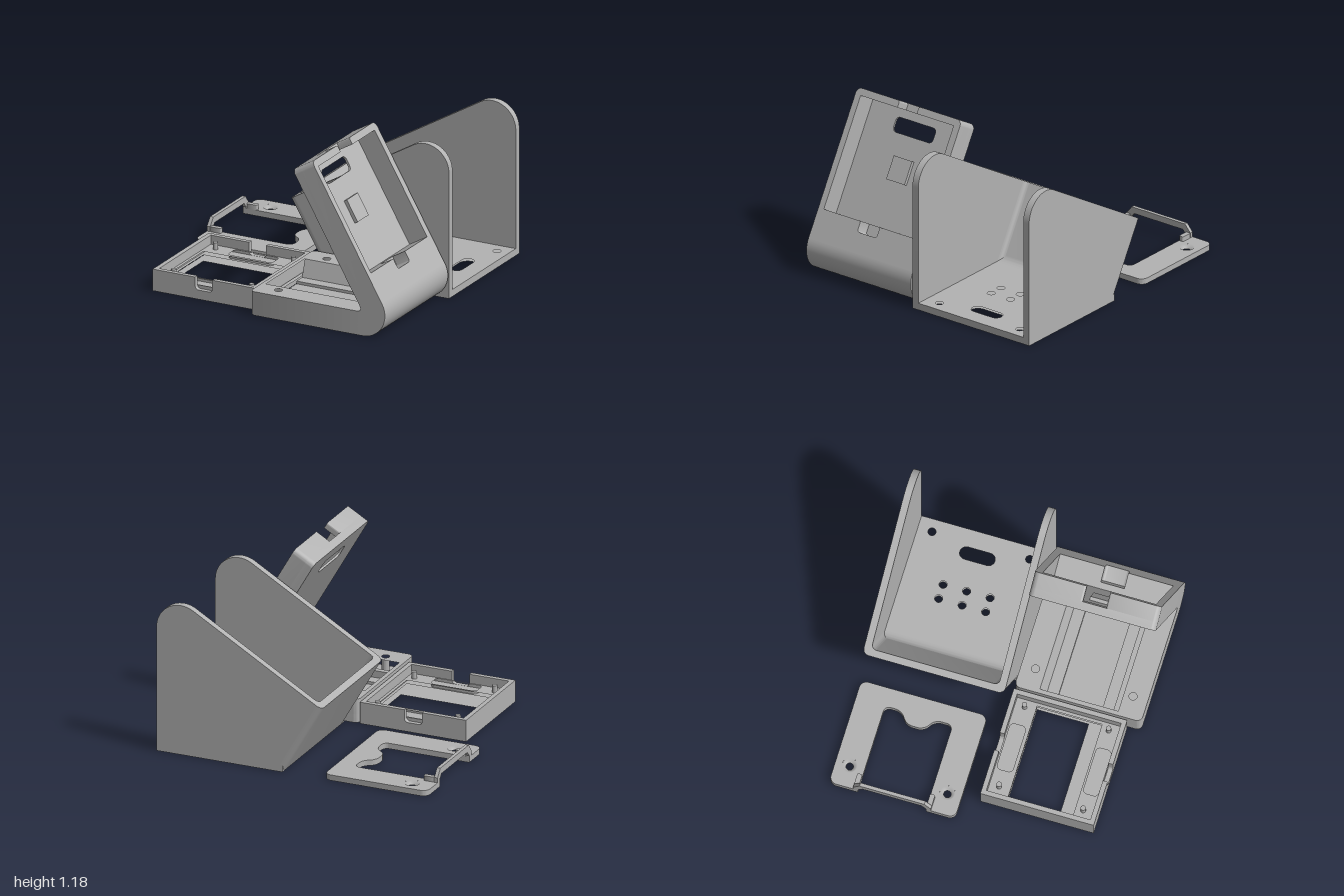
import * as THREE from 'three';
import { toCreasedNormals } from 'three/addons/utils/BufferGeometryUtils.js';

const plastic = new THREE.MeshStandardMaterial({ color: 0xb2b2b2 });
plastic.name = 'grey plastic';

// Closed path through [x, y, cornerRadius] points, corners rounded
function trace(path, pts) {
  const n = pts.length;
  pts.forEach(([x, y, r = 0], i) => {
    const toward = ([a, b], d) => {
      const l = Math.hypot(a - x, b - y) || 1;
      return [x + (a - x) * d / l, y + (b - y) * d / l];
    };
    const prev = pts[(i + n - 1) % n], next = pts[(i + 1) % n];
    const a = toward(prev, r), b = toward(next, r);
    if (i) path.lineTo(...a); else path.moveTo(...a);
    if (r) path.bezierCurveTo(...toward(prev, r * 0.45), ...toward(next, r * 0.45), ...b);
  });
  path.closePath();
  return path;
}
const rect = (x0, y0, x1, y1, r = 0) => [[x0, y0, r], [x1, y0, r], [x1, y1, r], [x0, y1, r]];
const disc = (x, y, r) => rect(x - r, y - r, x + r, y + r, r * 0.999);

function extrude(shape, from, to) {
  const g = new THREE.ExtrudeGeometry(shape, { depth: to - from, bevelEnabled: false, curveSegments: 10 });
  return toCreasedNormals(g.translate(0, 0, from), 0.6);
}
function add(group, name, geometry) {
  const m = new THREE.Mesh(geometry, plastic);
  m.name = name;
  group.add(m);
  return m;
}
// Plate seen in plan: points are [x, z, r], thickness runs from y0 to y1
function slab(group, name, pts, holes, y0, y1) {
  const flip = list => list.map(([x, z, r]) => [x, -z, r]);
  const s = trace(new THREE.Shape(), flip(pts));
  s.holes = holes.map(h => trace(new THREE.Path(), flip(h)));
  return add(group, name, extrude(s, y0, y1).rotateX(-Math.PI / 2));
}
// Tilted directions shared by the stand and the tray (30 degrees off vertical)
const UP = new THREE.Vector3(-0.5, Math.sqrt(0.75), 0);
const OUT = new THREE.Vector3(Math.sqrt(0.75), 0.5, 0);
const BACK = new THREE.Vector3(0, 0, -1);
function group(parent, name) {
  const g = new THREE.Group();
  g.name = name;
  parent.add(g);
  return g;
}

function buildTray(root) {
  const g = group(root, 'tray');
  const zA = -0.95, zB = 0.045, t = 0.05;
  // Floor, counterbored from below
  const vents = [];
  for (const x of [0.465, 0.57]) for (const z of [-0.62, -0.455, -0.29]) vents.push(disc(x, z, 0.027));
  const floor = rect(0.07, zA, 1, zB);
  slab(g, 'trayFloorLower', floor, [...vents, disc(0.91, -0.8, 0.042), disc(0.91, -0.115, 0.042),
    rect(0.765, -0.6, 0.895, -0.315, 0.064)], 0, 0.025);
  slab(g, 'trayFloorUpper', floor, [...vents, disc(0.91, -0.8, 0.027), disc(0.91, -0.115, 0.027),
    rect(0.785, -0.58, 0.875, -0.335, 0.044)], 0.025, t);
  // Side walls
  const side = new THREE.Shape();
  side.moveTo(0.07, 0);
  side.lineTo(1, 0);
  side.lineTo(1, 0.9);
  side.absarc(0.82, 0.9, 0.18, 0, Math.PI * 2 / 3, false);
  side.lineTo(-0.177, 0.525);
  side.lineTo(0.113, 0.025);
  side.closePath();
  add(g, 'trayBackSide', extrude(side, zA, zA + t));
  add(g, 'trayFrontSide', extrude(side, zB - t, zB));
  // Sloping end wall with rounded edges and inner fillets
  const f = 0.035, a = -zB, b = -zA;
  const section = trace(new THREE.Shape(), [[0, a, 0.045], [t + f, a], [t + f, a + t], [t, a + t, f],
    [t, b - t, f], [t + f, b - t], [t + f, b], [0, b, 0.045]]);
  const wall = extrude(section, 0, 0.578);
  wall.applyMatrix4(new THREE.Matrix4().makeBasis(OUT, BACK, UP).setPosition(0.07, 0, 0));
  add(g, 'trayEndWall', wall);
  // Fillet between floor and end wall
  const fillet = new THREE.Shape();
  fillet.moveTo(0.075, 0.09);
  fillet.quadraticCurveTo(0.099, 0.05, 0.145, 0.05);
  fillet.lineTo(0.1, 0.03);
  fillet.closePath();
  add(g, 'trayFillet', extrude(fillet, zA + t, zB - t));
}

function buildStand(root) {
  const g = group(root, 'stand');
  const z0 = 0.06, z1 = 0.95, t = 0.17;
  // Base block with open pocket and blind screw holes
  const base = [[-0.03, z0, 0.04], [0.83, z0], [0.83, z1], [-0.03, z1, 0.04]];
  const pocket = rect(0, 0.23, 0.7, 0.78);
  slab(g, 'standBaseLower', base, [pocket], 0, 0.06);
  slab(g, 'standBaseUpper', base, [pocket, disc(0.13, 0.16, 0.027), disc(0.13, 0.845, 0.027)], 0.06, t);
  // Stepped pocket floor, cross-section [z, y] run along x
  const steps = [[0.23, 0], [0.23, 0.17], [0.27, 0.05], [0.35, 0.05], [0.35, 0.03], [0.66, 0.03], [0.66, 0.05],
    [0.74, 0.05], [0.74, 0.1], [0.78, 0.1], [0.78, 0]];
  const insert = extrude(trace(new THREE.Shape(), steps.map(([z, y]) => [-z, y])), 0, 0.7);
  add(g, 'standPocketFloor', insert.rotateY(Math.PI / 2));
  // Rounded bend joining base and leaning panel
  const cx = 0.83, cy = 0.17;
  const bend = new THREE.Shape();
  bend.moveTo(0.78, 0);
  bend.lineTo(cx, 0);
  bend.absarc(cx, cy, t, -Math.PI / 2, Math.PI / 6, false);
  bend.lineTo(cx + OUT.x * t - 0.025, cy + OUT.y * t + 0.043);
  bend.lineTo(cx - 0.025, cy + 0.043);
  bend.quadraticCurveTo(cx, cy, 0.78, cy);
  bend.closePath();
  add(g, 'standBend', extrude(bend, z0, z1));
  // Leaning panel, layered from its back sheet to its front rim
  const panel = group(g, 'standPanel');
  panel.applyMatrix4(new THREE.Matrix4().makeBasis(BACK, UP, OUT).setPosition(cx, cy, 0));
  const L = 1.068, a = -z1, b = -z0, ra = -0.904, rb = -0.111, r0 = 0.216, r1 = 1.018, na = -0.59, nb = -0.425;
  const outer = [[a, 0], [b, 0], [b, L, 0.04], [a, L, 0.04]];
  const layer = (name, pts, holes, w0, w1) => {
    const s = trace(new THREE.Shape(), pts);
    s.holes = holes.map(h => trace(new THREE.Path(), h));
    add(panel, name, extrude(s, w0, w1));
  };
  layer('panelSheet', outer, [rect(-0.677, 0.857, -0.338, 0.961, 0.03)], 0, 0.015);
  layer('panelInnerRim', outer, [rect(ra, r0, rb, r1)], 0.015, 0.06);
  layer('panelOuterRim', [[a, 0], [b, 0], [b, L, 0.04], [nb, L, 0.015], [nb, r1], [rb, r1], [rb, r0], [nb, r0],
    [nb, 0.14, 0.02], [na, 0.14, 0.02], [na, r0], [ra, r0], [ra, r1], [na, r1], [na, L, 0.015], [a, L, 0.04]],
  [], 0.06, t);
  layer('panelPad', rect(-0.586, 0.537, -0.43, 0.704), [], 0.015, 0.04);
}

function buildFrame(root) {
  const g = group(root, 'screenFrame');
  const x0 = -0.825, x1 = -0.04, z0 = 0.06, z1 = 0.855, w = 0.033;
  const low = 0.065, top = 0.155;
  const outer = rect(x0, z0, x1, z1);
  // Bezel, thinner along one edge of the window
  slab(g, 'frameBezel', outer, [rect(-0.77, 0.24, -0.095, 0.6)], 0, 0.02);
  slab(g, 'frameLedge', outer, [rect(-0.77, 0.24, -0.095, 0.695)], 0.02, low);
  slab(g, 'frameShelf', rect(x0 + w, z0 + w, x1 - w, z1 - w), [rect(-0.77, 0.24, -0.095, 0.695),
    rect(-0.6, 0.105, -0.26, 0.215, 0.03), rect(-0.6, 0.71, -0.26, 0.815, 0.03)], low, 0.09);
  // Rim walls, notched front and back
  for (const x of [x0, x1 - w]) slab(g, 'frameSideWall', rect(x, z0, x + w, z1), [], low, top);
  const notched = [[x0 + w, low], [x1 - w, low], [x1 - w, top], [-0.37, top], [-0.37, low + 0.001, 0.025],
    [-0.5, low + 0.001, 0.025], [-0.5, top], [x0 + w, top]];
  for (const z of [z0, z1 - w]) add(g, 'frameNotchedWall', extrude(trace(new THREE.Shape(), notched), z, z + w));
  // Locating pegs
  for (const x of [-0.72, -0.125]) for (const z of [0.16, 0.75]) {
    const peg = add(g, 'framePeg', new THREE.CylinderGeometry(0.018, 0.018, 0.06, 20));
    peg.position.set(x, 0.11, z);
  }
}

function buildCover(root) {
  const g = group(root, 'coverPlate');
  // Flat plate, open on its outer edge under the bridge
  const plate = [[-1, -0.95, 0.05], [-0.24, -0.95, 0.05], [-0.24, -0.064, 0.05], [-1, -0.064, 0.05], [-1, -0.27],
    [-0.37, -0.27, 0.04], [-0.37, -0.39, 0.04], [-0.455, -0.45, 0.04], [-0.455, -0.57, 0.04], [-0.37, -0.63, 0.04],
    [-0.37, -0.745, 0.04], [-1, -0.745]];
  const screws = [-0.85, -0.165];
  slab(g, 'coverLower', plate, screws.map(z => disc(-0.845, z, 0.025)), 0, 0.015);
  slab(g, 'coverUpper', plate, screws.map(z => disc(-0.845, z, 0.052)), 0.015, 0.04);
  // Countersinks
  for (const z of screws) {
    const cone = new THREE.LatheGeometry([new THREE.Vector2(0.025, 0.015), new THREE.Vector2(0.025, 0.0151),
      new THREE.Vector2(0.052, 0.04), new THREE.Vector2(0.052, 0.015), new THREE.Vector2(0.025, 0.015)].reverse(), 28);
    const m = add(g, 'coverCountersink', cone);
    m.position.set(-0.845, 0, z);
    m.material = sink;
  }
  // Raised bridge and its two arms
  const bridge = [[-0.78, 0], [-0.78, 0.075], [-0.735, 0.13], [-0.28, 0.13], [-0.235, 0.075], [-0.235, 0],
    [-0.27, 0], [-0.27, 0.05], [-0.3, 0.085], [-0.715, 0.085], [-0.745, 0.05], [-0.745, 0]];
  const arch = extrude(trace(new THREE.Shape(), bridge.map(([z, y]) => [-z, y])), -1, -0.975);
  add(g, 'coverBridge', arch.rotateY(Math.PI / 2));
  for (const z of [-0.78, -0.27]) slab(g, 'coverArm', rect(-0.975, z, -0.895, z + 0.035, 0.01), [], 0.04, 0.075);
}
const sink = plastic.clone();
sink.side = THREE.DoubleSide;

export function createModel() {
  const root = new THREE.Group();
  root.name = 'enclosureParts';
  buildTray(root);
  buildStand(root);
  buildFrame(root);
  buildCover(root);
  return root;
}
